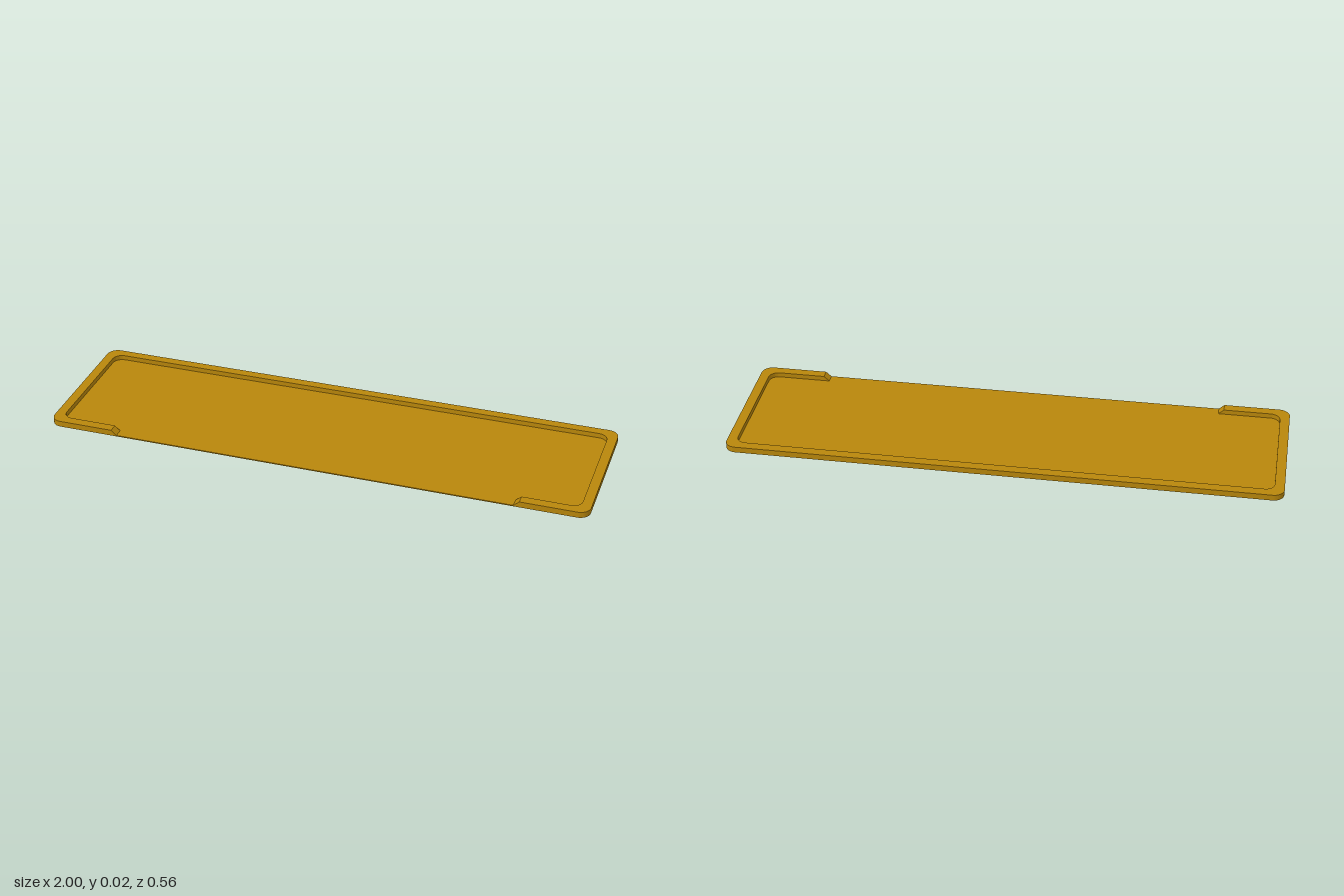
import * as THREE from 'three';
import { toCreasedNormals } from 'three/addons/utils/BufferGeometryUtils.js';

const W = 1, D = 0.28, R = 0.04;           // outer half width, half depth, corner radius
const RIM = 0.035, RI = 0.035;             // rim width, inner corner radius
const FLOOR = 0.004, H = 0.022;            // floor thickness, total height
const GAP_LOW = 0.738, GAP_HIGH = 0.758;   // half width of the front opening at floor and at top

// Outline from front right end of the opening, counter-clockwise round to the front left end
function outline(w, d, r, gap) {
  const pts = [new THREE.Vector2(gap, -d)];
  const corners = [[1, -1], [1, 1], [-1, 1], [-1, -1]];
  corners.forEach(([sx, sy], i) => {
    for (let k = 0; k <= 10; k++) {
      const a = (i - 1 + k / 10) * Math.PI / 2;
      pts.push(new THREE.Vector2(sx * (w - r) + r * Math.cos(a), sy * (d - r) + r * Math.sin(a)));
    }
  });
  pts.push(new THREE.Vector2(-gap, -d));
  return pts;
}

function slab(points, y, height) {
  const geo = new THREE.ExtrudeGeometry(new THREE.Shape(points), { depth: height, bevelEnabled: false });
  geo.rotateX(-Math.PI / 2);
  geo.translate(0, y, 0);
  return geo;
}

export function createModel() {
  const group = new THREE.Group();
  group.name = 'tray';
  const material = new THREE.MeshStandardMaterial({ color: 0xb8860b });

  const add = (name, geo) => {
    const mesh = new THREE.Mesh(toCreasedNormals(geo, 0.5), material);
    mesh.name = name;
    group.add(mesh);
  };

  // Thin floor with rounded corners
  add('floor', slab(outline(W, D, R, GAP_LOW), 0, FLOOR));

  // Raised rim, open along the front
  const outer = outline(W, D, R, GAP_LOW);
  const inner = outline(W - RIM, D - RIM, RI, GAP_LOW).reverse();
  const rim = slab([...outer, ...inner], FLOOR, H - FLOOR);

  // Slope the two rim ends beside the opening
  const p = rim.attributes.position;
  for (let i = 0; i < p.count; i++) {
    const x = p.getX(i);
    if (p.getY(i) > H - 0.001 && Math.abs(x) < GAP_LOW + 0.001) p.setX(i, Math.sign(x) * GAP_HIGH);
  }
  add('rim', rim);

  return group;
}
